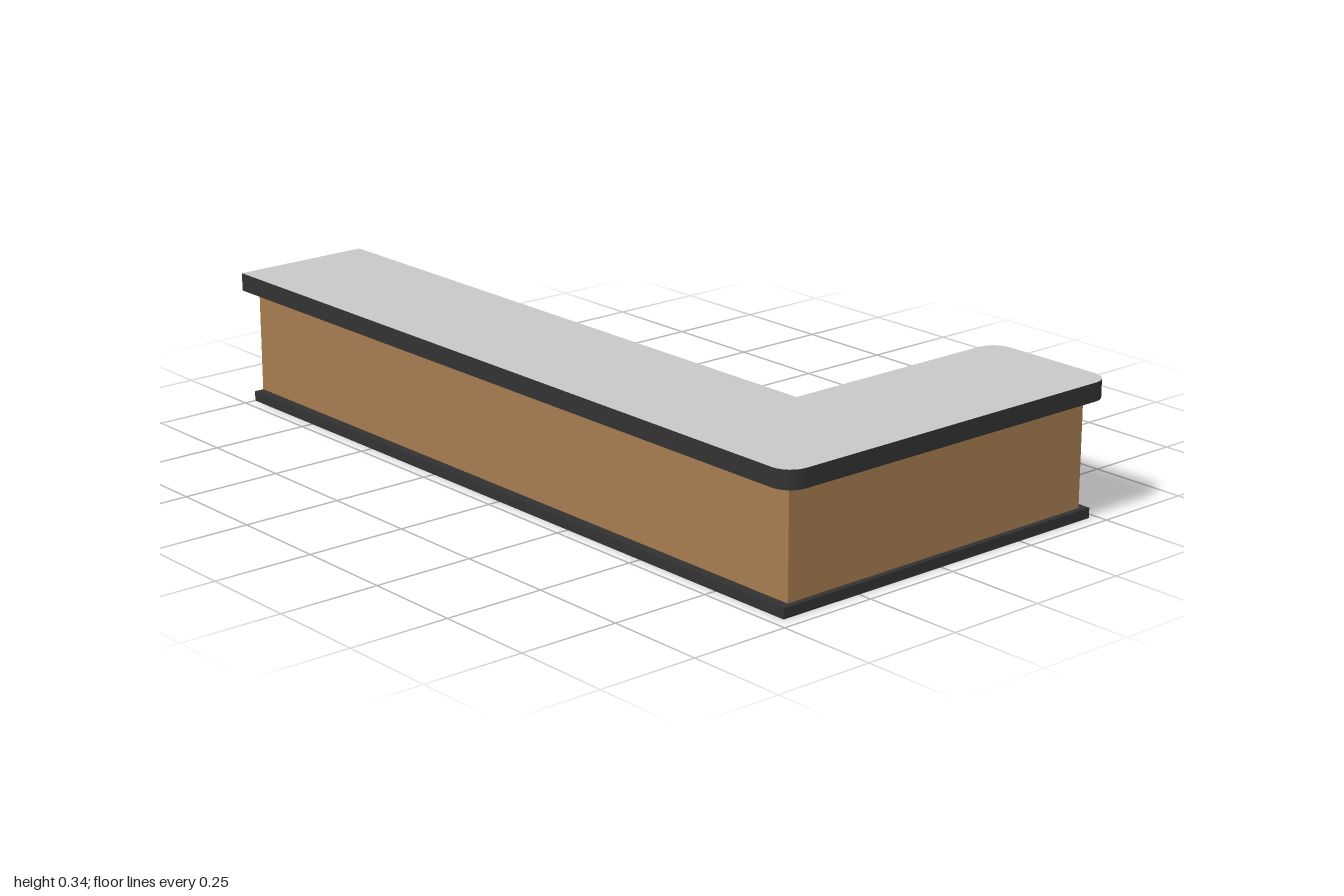
import * as THREE from 'three';

const material = (name, color, side = THREE.FrontSide) => {
  const m = new THREE.MeshStandardMaterial({ color, side });
  m.name = name;
  return m;
};

// L-shaped open outline as [x, z], from the open end along the front and back again
const outline = (front, end, back, innerX, innerZ) => [
  [-1, front], [end, front], [end, back], [innerX, back], [innerX, innerZ], [-1, innerZ],
];

// Rounds the chosen corners of an outline
function roundCorners(points, corners, radius, steps = 6) {
  const result = [];
  points.forEach(([x, z], i) => {
    if (!corners.includes(i)) return result.push([x, z]);
    const toward = ([px, pz]) => [Math.sign(px - x) * radius, Math.sign(pz - z) * radius];
    const a = toward(points[i - 1]), b = toward(points[i + 1]);
    for (let s = 0; s <= steps; s++) {
      const t = (s / steps) * Math.PI / 2;
      const ka = 1 - Math.sin(t), kb = 1 - Math.cos(t);
      result.push([x + a[0] * ka + b[0] * kb, z + a[1] * ka + b[1] * kb]);
    }
  });
  return result;
}

const toShape = (points) => new THREE.Shape(points.map(([x, z]) => new THREE.Vector2(x, -z)));

// Flat horizontal sheet at height y
const sheet = (points, y) =>
  new THREE.ShapeGeometry(toShape(points)).rotateX(-Math.PI / 2).translate(0, y, 0);

// Upright sheet following an outline
function ribbon(points, y0, y1) {
  const position = [];
  for (let i = 0; i < points.length - 1; i++) {
    const [ax, az] = points[i], [bx, bz] = points[i + 1];
    position.push(ax, y0, az, bx, y0, bz, bx, y1, bz, ax, y0, az, bx, y1, bz, ax, y1, az);
  }
  const g = new THREE.BufferGeometry();
  g.setAttribute('position', new THREE.Float32BufferAttribute(position, 3));
  g.computeVertexNormals();
  return g;
}

export function createModel() {
  const wood = material('wood', 0xa67c50, THREE.DoubleSide);
  const black = material('black trim', 0x323232, THREE.DoubleSide);
  const grey = material('grey worktop', 0xc8c8c8, THREE.DoubleSide);

  const wallLine = outline(0.445, 0.95, -0.46, 0.67, 0.165);
  const skirtLine = outline(0.47, 0.965, -0.48, 0.655, 0.15);
  const topLine = roundCorners(outline(0.495, 1, -0.495, 0.64, 0.135), [1, 2, 3], 0.05);
  const inward = [...wallLine].reverse();

  const group = new THREE.Group();
  group.name = 'counter';
  const add = (name, geometry, mat) => {
    const mesh = new THREE.Mesh(geometry, mat);
    mesh.name = name;
    group.add(mesh);
  };

  // Hollow body, open below and at the -x end
  add('walls', ribbon(wallLine, 0, 0.295), wood);
  add('overhangUnderside', sheet([...topLine, ...inward], 0.295), wood);

  // Base trim outside the walls
  const skirt = new THREE.ExtrudeGeometry(toShape([...skirtLine, ...inward]), {
    depth: 0.025, bevelEnabled: false,
  }).rotateX(-Math.PI / 2);
  add('skirting', skirt, black);

  // Worktop and its edge band
  add('worktopEdge', ribbon(topLine, 0.295, 0.34), black);
  add('worktop', sheet(topLine, 0.34), grey);
  return group;
}
